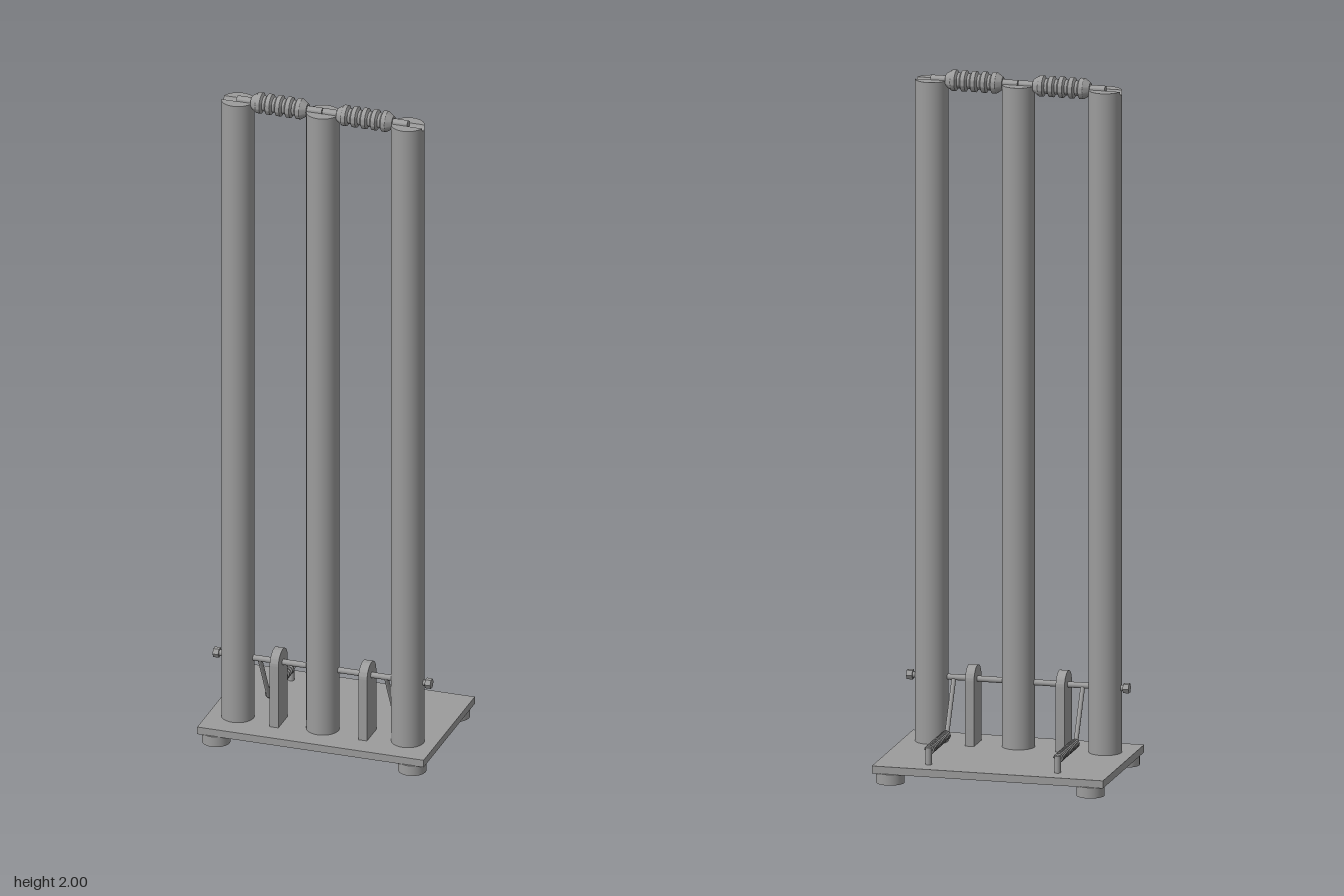
import * as THREE from 'three';
import { toCreasedNormals } from 'three/addons/utils/BufferGeometryUtils.js';

const STUMP_R = 0.047, STUMP_TOP = 1.97, GROOVE_R = 0.012;
const ROW_Z = 0.112, PLATE_TOP = 0.052, AXLE_Y = 0.24;

export function createModel() {
  const model = new THREE.Group();
  const metal = new THREE.MeshStandardMaterial({ color: 0x9c9c9c });
  metal.name = 'grey metal';

  const add = (name, geometry, x = 0, y = 0, z = 0) => {
    const mesh = new THREE.Mesh(geometry, metal);
    mesh.name = name;
    mesh.position.set(x, y, z);
    model.add(mesh);
    return mesh;
  };
  const rodBetween = (name, a, b, r) => {
    const dir = b.clone().sub(a);
    const mesh = add(name, new THREE.CylinderGeometry(r, r, dir.length(), 20));
    mesh.position.copy(a).add(b).multiplyScalar(0.5);
    mesh.quaternion.setFromUnitVectors(new THREE.Vector3(0, 1, 0), dir.normalize());
    return mesh;
  };

  // Base plate on four round feet
  add('basePlate', new THREE.BoxGeometry(0.674, 0.022, 0.443), 0, 0.041, -0.001);
  for (const x of [-0.292, 0.292]) {
    for (const z of [-0.19, 0.187]) {
      add('foot', new THREE.CylinderGeometry(0.04, 0.04, 0.031, 40), x, 0.0155, z);
    }
  }

  // Three stumps, each with a bail groove across the top
  const wall = stumpWall(), cap = stumpCap();
  for (const x of [-0.253, 0, 0.253]) {
    add('stump', wall, x, 0, ROW_Z);
    add('stumpTop', cap, x, 0, ROW_Z);
  }

  // Axle through the stumps, with hexagonal end nuts
  rodBetween('axle', new THREE.Vector3(-0.31, AXLE_Y, ROW_Z),
    new THREE.Vector3(0.31, AXLE_Y, ROW_Z), 0.0085);
  for (const s of [-1, 1]) {
    const nut = add('axleNut', new THREE.CylinderGeometry(0.015, 0.015, 0.017, 6).toNonIndexed(),
      s * 0.3155, AXLE_Y, ROW_Z);
    nut.geometry.computeVertexNormals();
    nut.rotation.z = Math.PI / 2;
  }

  const bail = bailGeometry(), lug = lugGeometry(), spring = springGeometry();
  for (const s of [-1, 1]) {
    // Ribbed bail resting in the grooves
    const bailMesh = add('bail', bail, s * 0.1275, STUMP_TOP, ROW_Z);
    bailMesh.rotation.z = -Math.PI / 2;

    // Round-topped lug that carries the axle
    add('axleLug', lug, s * 0.132 - 0.013, 0, ROW_Z).rotation.y = Math.PI / 2;

    // Return spring, its post and the lever arm up to the axle
    const x = s * 0.188;
    add('springPost', new THREE.CylinderGeometry(0.009, 0.009, 0.05, 24), x, PLATE_TOP + 0.024, -0.161);
    add('returnSpring', spring, x, 0.092, 0);
    rodBetween('leverArm', new THREE.Vector3(x, 0.088, 0.033),
      new THREE.Vector3(x, AXLE_Y, ROW_Z), 0.0065);
  }
  return model;
}

// Height of the stump top at distance z from the groove's centre line
function topHeight(z) {
  return STUMP_TOP - Math.sqrt(Math.max(0, GROOVE_R ** 2 - z * z));
}

// Cylinder side whose upper edge dips into the groove
function stumpWall() {
  const g = new THREE.CylinderGeometry(STUMP_R, STUMP_R, 1, 96, 1, true);
  const p = g.attributes.position;
  for (let i = 0; i < p.count; i++) {
    p.setY(i, p.getY(i) > 0 ? topHeight(p.getZ(i)) : PLATE_TOP);
  }
  return g;
}

// Top face made of strips running along the groove
function stumpCap() {
  const pos = [], index = [], n = 48;
  for (let i = 0; i <= n; i++) {
    const a = -Math.PI / 2 + Math.PI * i / n;
    const x = STUMP_R * Math.cos(a), z = STUMP_R * Math.sin(a), y = topHeight(z);
    pos.push(-x, y, z, x, y, z);
    if (i < n) {
      const k = i * 2;
      index.push(k, k + 2, k + 1, k + 1, k + 2, k + 3);
    }
  }
  const g = new THREE.BufferGeometry();
  g.setAttribute('position', new THREE.Float32BufferAttribute(pos, 3));
  g.setIndex(index);
  return toCreasedNormals(g, 0.5);
}

// Turned bail with five flat-topped ribs and a spigot at each end
function bailGeometry() {
  const half = 0.1265, body = 0.0825, pitch = 0.0295;
  const pts = [[0, -half], [0.0118, -half], [0.0118, -body], [0.018, -body]];
  for (let i = -2; i <= 2; i++) {
    const c = i * pitch;
    if (i > -2) pts.push([0.022, c - 0.011]);
    pts.push([0.03, c - 0.006], [0.03, c + 0.006]);
    if (i < 2) pts.push([0.022, c + 0.011]);
  }
  pts.push([0.018, body], [0.0118, body], [0.0118, half], [0, half]);
  const g = new THREE.LatheGeometry(pts.map(([r, y]) => new THREE.Vector2(r, y)), 32);
  return toCreasedNormals(g, 0.4);
}

// Upright plate with a semicircular top
function lugGeometry() {
  const shape = new THREE.Shape();
  shape.moveTo(-0.04, PLATE_TOP);
  shape.lineTo(0.04, PLATE_TOP);
  shape.lineTo(0.04, AXLE_Y);
  shape.absarc(0, AXLE_Y, 0.04, 0, Math.PI, false);
  shape.closePath();
  const g = new THREE.ExtrudeGeometry(shape, { depth: 0.026, bevelEnabled: false, curveSegments: 24 });
  return toCreasedNormals(g, 0.5);
}

// Coil running along z
function springGeometry() {
  const turns = 15, z0 = -0.157, z1 = 0.031, r = 0.0112;
  const pts = [];
  for (let i = 0; i <= turns * 12; i++) {
    const a = i / 12 * Math.PI * 2;
    pts.push(new THREE.Vector3(r * Math.cos(a), r * Math.sin(a), z0 + (z1 - z0) * i / (turns * 12)));
  }
  return new THREE.TubeGeometry(new THREE.CatmullRomCurve3(pts), turns * 20, 0.0031, 8, false);
}
